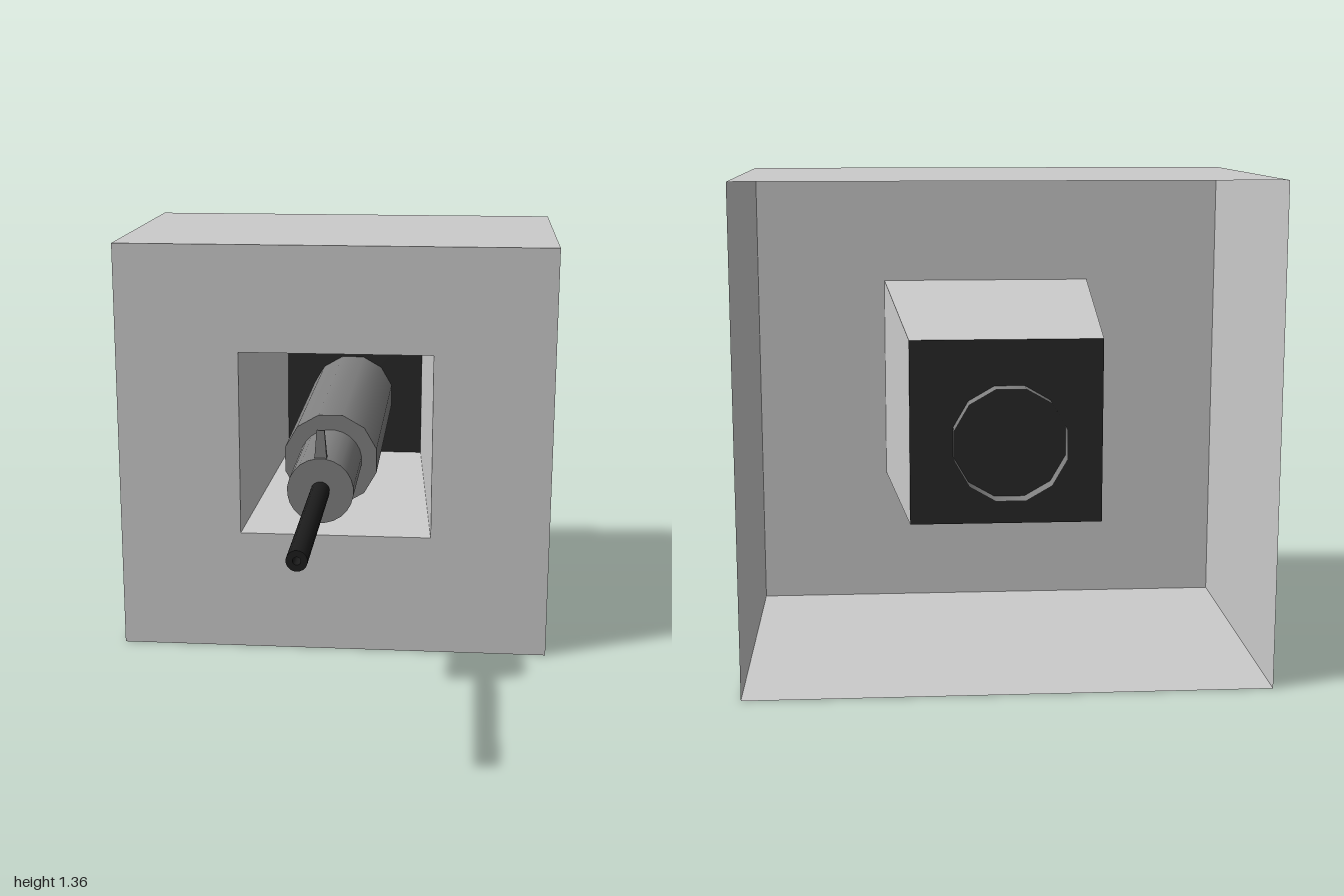
import * as THREE from 'three';

const material = (color, flatShading = false) =>
  new THREE.MeshStandardMaterial({ color, flatShading, side: THREE.DoubleSide });
const WALL = material(0xcccccc, true);
const PLATE = material(0x282828, true);
const BARREL = material(0x808080);
const SIGHT = material(0x808080, true);
const ROD = material(0x1c1c1c);

const AXIS_Y = 0.682; // height of the barrel axis

// Rectangle corners at depth z, counter-clockwise from the front
const rect = (x0, x1, y0, y1, z) => [[x0, y0, z], [x1, y0, z], [x1, y1, z], [x0, y1, z]];

// Four flat walls joining two rectangles; the front one comes first
function walls(front, back) {
  const pos = [];
  for (let i = 0; i < 4; i++) {
    const j = (i + 1) % 4;
    pos.push(...front[i], ...back[i], ...back[j], ...front[i], ...back[j], ...front[j]);
  }
  const geo = new THREE.BufferGeometry();
  geo.setAttribute('position', new THREE.Float32BufferAttribute(pos, 3));
  geo.computeVertexNormals();
  return geo;
}

// Cylinder wall along z between two depths, with a flat at top and bottom
function tube(radius, z0, z1, sides) {
  const geo = new THREE.CylinderGeometry(radius, radius, z1 - z0, sides, 1, true);
  geo.rotateY(Math.PI / sides).rotateX(Math.PI / 2);
  return geo.translate(0, AXIS_Y, (z0 + z1) / 2);
}

// Disc or annulus facing +z, matching the corners of a tube
function face(inner, outer, z, sides) {
  const geo = inner > 0
    ? new THREE.RingGeometry(inner, outer, sides)
    : new THREE.CircleGeometry(outer, sides);
  return geo.rotateZ(Math.PI / 2 + Math.PI / sides).translate(0, AXIS_Y, z);
}

export function createModel() {
  const model = new THREE.Group();
  model.name = 'boxMountedBarrel';
  const add = (name, geometry, mat, parent = model) => {
    const mesh = new THREE.Mesh(geometry, mat);
    mesh.name = name;
    parent.add(mesh);
  };
  const group = (name) => {
    const g = new THREE.Group();
    g.name = name;
    model.add(g);
    return g;
  };

  // Housing: open at the back, with a window in the front
  const housing = group('housing');
  const zFront = -0.087, zBack = -0.98, zPlate = -0.945;
  const toVectors = (corners) => corners.map(([x, y]) => new THREE.Vector2(x, y));
  const outer = rect(-0.71, 0.71, 0, 1.357, zFront);
  const opening = rect(-0.308, 0.322, 0.4, 1.01, zFront);
  const inner = rect(-0.245, 0.26, 0.462, 0.95, zPlate);
  add('housingWalls', walls(outer, rect(-0.71, 0.71, 0, 1.357, zBack)), WALL, housing);
  const frontShape = new THREE.Shape(toVectors(outer));
  frontShape.holes.push(new THREE.Path(toVectors(opening)));
  add('housingFront', new THREE.ShapeGeometry(frontShape).translate(0, 0, zFront), WALL, housing);

  // Tapered recess ending in a dark plate
  add('recessWalls', walls(opening, inner), WALL, housing);
  add('recessPlate', new THREE.ShapeGeometry(new THREE.Shape(toVectors(inner)))
    .translate(0, 0, zPlate), PLATE, housing);

  // Stepped barrel: the wide sleeve passes through the plate
  const barrel = group('barrel');
  add('sleeve', tube(0.152, -1, 0, 12), BARREL, barrel);
  add('sleeveFace', face(0, 0.152, 0, 12), BARREL, barrel);
  add('narrowBarrel', tube(0.1, 0, 0.355, 24), BARREL, barrel);
  add('narrowBarrelFace', face(0, 0.1, 0.355, 24), BARREL, barrel);

  // Rod with a small bore
  const rod = group('rod');
  add('rodWall', tube(0.029, 0.355, 1, 16), ROD, rod);
  add('rodTip', face(0.011, 0.029, 1, 16), ROD, rod);
  add('rodBore', tube(0.011, 0.9, 1, 16), ROD, rod);
  add('rodBoreEnd', face(0, 0.011, 0.9, 16), ROD, rod);

  // Front sight: a small block narrowing to the top, its front edge upright
  const sight = new THREE.BoxGeometry(0.038, 0.095, 0.028);
  const p = sight.attributes.position;
  for (let i = 0; i < p.count; i++) {
    if (p.getY(i) > 0) {
      p.setX(i, p.getX(i) * 0.62);
      if (p.getZ(i) < 0) p.setZ(i, 0.004);
    }
  }
  sight.computeVertexNormals();
  add('frontSight', sight.translate(0, 0.818, 0.331), SIGHT);

  return model;
}
